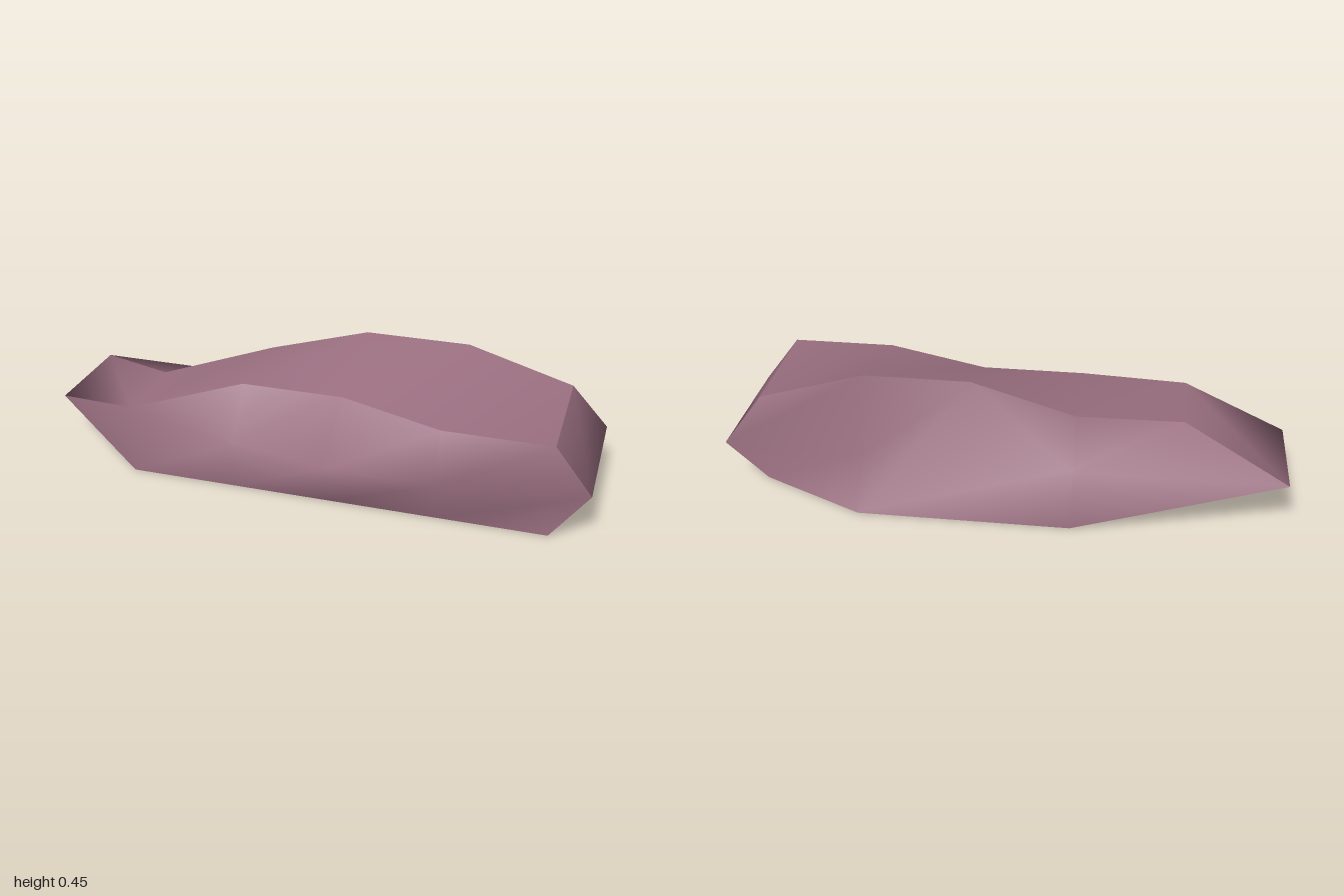
import * as THREE from 'three';

// Corner points, named by rail (letter) and station along x (digit)
const P = {
  // upper front and upper back rails
  A1: [-0.64, 0.255, 0.285], A2: [-0.26, 0.34, 0.15], A3: [0.11, 0.34, 0.15], A4: [0.49, 0.34, 0.29], A5: [0.87, 0.34, 0.29],
  B1: [-0.64, 0.255, -0.02], B2: [-0.26, 0.34, -0.18], B3: [0.11, 0.45, -0.18], B4: [0.49, 0.45, -0.18], B5: [0.87, 0.34, -0.18],
  // middle front and middle back rails
  M0: [-1, 0.17, 0.12], M2: [-0.26, 0.17, 0.29], M3: [0.11, 0.17, 0.367], M4: [0.49, 0.17, 0.367], M6: [1, 0.17, 0.285],
  N0: [-1, 0.17, -0.27], N2: [-0.26, 0.17, -0.27], N4: [0.49, 0.17, -0.23], N6: [1, 0.17, -0.23],
  // bottom front and bottom back rails
  F1: [-0.64, 0, 0.29], F2: [-0.26, 0, 0.29], F3: [0.11, 0, 0.29], F4: [0.49, 0, 0.29], F5: [0.87, 0, 0.29],
  G1: [-0.64, 0, -0.18], G2: [-0.26, 0, -0.367], G4: [0.49, 0, -0.367], G5: [0.87, 0, -0.18],
};

// Each panel is smooth inside and sharp at its border; faces run counter-clockwise from outside
const PANELS = {
  topPanel: 'A1 A2 B2 B1, A2 A3 B3 B2, A3 A4 B4 B3, A4 A5 B5 B4',
  frontPanel: 'M0 F1 A1, M2 A2 A1 F1, M2 M3 A3 A2, M3 M4 A4 A3, M4 M6 A5 A4, ' +
    'F1 F2 M2, F2 F3 M3 M2, F3 F4 M4 M3, F4 F5 M6 M4',
  backPanel: 'G5 G4 N4 N6, N6 N4 B4 B5, N4 B3 B4, N4 G4 B3, G4 N2 B3, N2 B2 B3, ' +
    'G4 G2 N2, G2 N0 N2, G2 G1 N0, N2 N0 B1 B2',
  leftEnd: 'F5 G5 N6 M6, M6 N6 B5 A5',
  rightTip: 'G1 F1 M0 N0, N0 M0 A1 B1',
  bottomPanel: 'F1 G1 G2 G4 G5 F5 F4 F3 F2',
};

// Builds a panel by fanning each polygon over shared corners
function panelGeometry(text) {
  const ids = new Map(), positions = [], index = [];
  const corner = (name) => {
    if (!ids.has(name)) {
      ids.set(name, ids.size);
      positions.push(...P[name]);
    }
    return ids.get(name);
  };
  for (const face of text.split(', ')) {
    const c = face.split(' ').map(corner);
    for (let i = 1; i < c.length - 1; i++) index.push(c[0], c[i], c[i + 1]);
  }
  const geometry = new THREE.BufferGeometry();
  geometry.setAttribute('position', new THREE.Float32BufferAttribute(positions, 3));
  geometry.setIndex(index);
  geometry.computeVertexNormals();
  return geometry;
}

export function createModel() {
  const group = new THREE.Group();
  group.name = 'rockSlab';
  const stone = new THREE.MeshStandardMaterial({ color: 0x9a6f80 });
  stone.name = 'mauve stone';
  for (const [name, faces] of Object.entries(PANELS)) {
    const mesh = new THREE.Mesh(panelGeometry(faces), stone);
    mesh.name = name;
    group.add(mesh);
  }
  return group;
}
